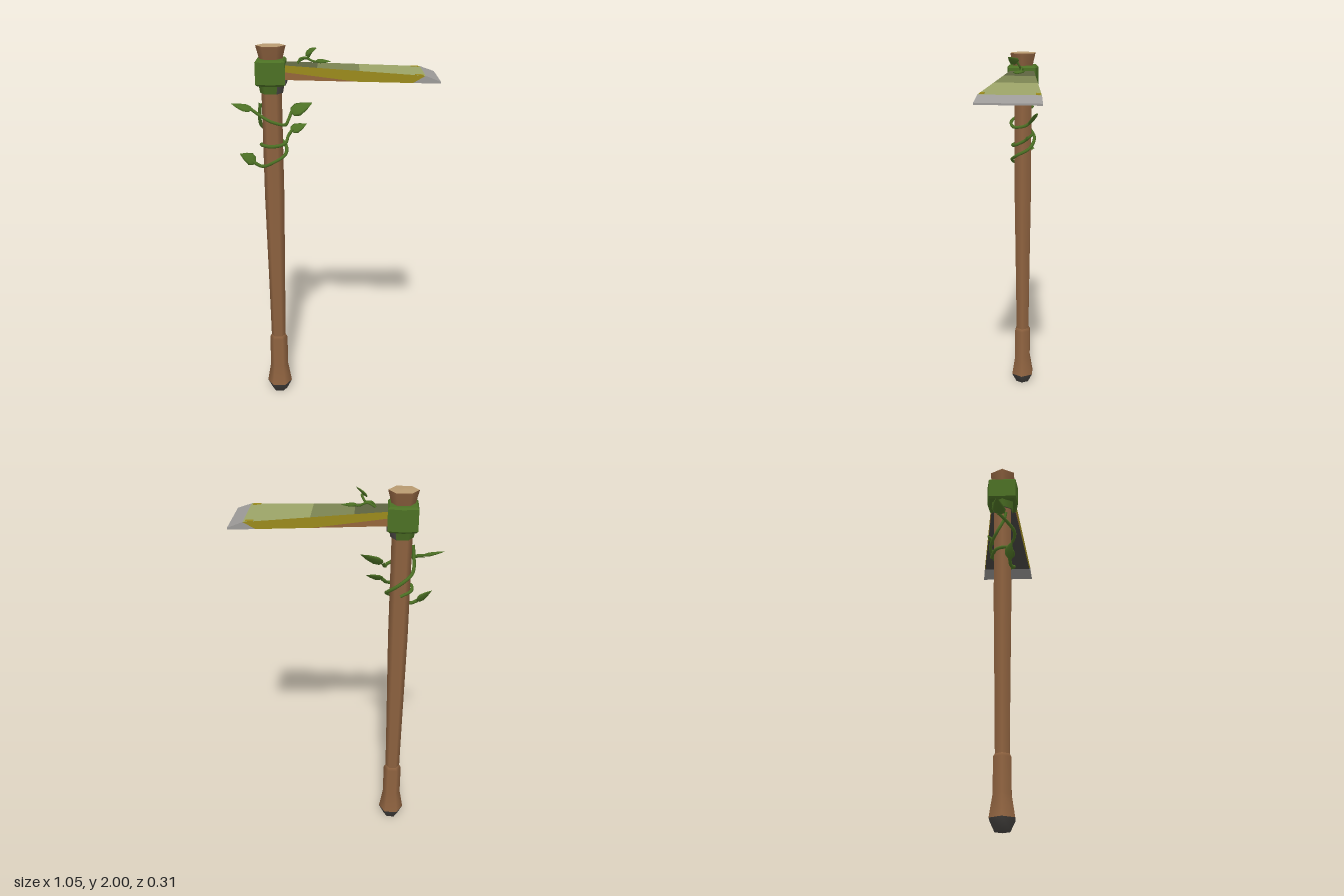
import * as THREE from 'three';

const mat = (name, color) => {
  const m = new THREE.MeshStandardMaterial({ color });
  m.name = name;
  return m;
};
const V = (p) => new THREE.Vector3(...p);
const AXIS = -0.315; // x of the handle's centre line

// Flat polygons, each a list of corners in counter-clockwise order
function polygons(list) {
  const pos = [];
  for (const p of list)
    for (let i = 1; i < p.length - 1; i++) pos.push(...p[0], ...p[i], ...p[i + 1]);
  const g = new THREE.BufferGeometry();
  g.setAttribute('position', new THREE.Float32BufferAttribute(pos, 3));
  g.computeVertexNormals();
  return g;
}
// Same polygon on both sides of the blade (z mirrored, order reversed)
const bothSides = (p) => [p, p.map(([x, y, z]) => [x, y, -z]).reverse()];

export function createModel() {
  const M = {
    wood: mat('wood', 0x8f6340),
    cutWood: mat('cut wood', 0xb89a70),
    iron: mat('dark iron', 0x4a4744),
    green: mat('leaf green', 0x4c7024),
    yellow: mat('yellow paint', 0x9a8a1c),
    rust: mat('orange brown', 0x94663a),
    oliveDark: mat('dark olive', 0x5d6340),
    oliveMid: mat('mid olive', 0x7c8452),
    oliveLight: mat('light olive', 0x9ca468),
    steel: mat('steel', 0x9c9a98),
  };
  const root = new THREE.Group();
  const add = (name, geo, material, parent = root) => {
    const m = new THREE.Mesh(geo, material);
    m.name = name;
    parent.add(m);
    return m;
  };

  // Six-sided handle pieces
  const turned = (name, pts, material) => {
    const profile = pts.map(([r, y]) => new THREE.Vector2(r, y));
    add(name, new THREE.LatheGeometry(profile, 6, Math.PI / 2), material).position.x = AXIS;
  };
  turned('endCap', [[0, 0], [0.042, 0], [0.07, 0.055]], M.iron);
  turned('grip', [[0.07, 0.055], [0.05, 0.17], [0.05, 0.345], [0.04, 0.362]], M.wood);
  turned('shaft', [[0.04, 0.355], [0.043, 0.6], [0.052, 1.2], [0.052, 1.75], [0.057, 1.92]], M.wood);
  turned('shaftHead', [[0.057, 1.92], [0.075, 1.99], [0.075, 1.995]], M.wood);
  turned('shaftTop', [[0.075, 1.995], [0, 2]], M.cutWood);

  // Collar with slightly bulged front and back
  const plan = new THREE.Shape([
    [-0.065, -0.065], [0, -0.075], [0.065, -0.065],
    [0.065, 0.065], [0, 0.075], [-0.065, 0.065],
  ].map(([x, z]) => new THREE.Vector2(x, z)));
  const collarGeo = new THREE.ExtrudeGeometry(plan, {
    depth: 0.11, bevelEnabled: true, bevelThickness: 0.01, bevelSize: 0.01, bevelSegments: 1,
  });
  collarGeo.rotateX(-Math.PI / 2);
  add('collar', collarGeo, M.green).position.set(AXIS, 1.81, 0);

  // Neck below the collar, iron on the blade side
  const neck = (name, segs, start, material) => {
    const g = new THREE.CylinderGeometry(0.068, 0.058, 0.05, segs, 1, true, start, segs * Math.PI / 3);
    add(name, g, material).position.set(AXIS, 1.782, 0);
  };
  neck('neckFront', 2, Math.PI / 6, M.iron);
  neck('neckBack', 4, Math.PI * 5 / 6, M.green);
  add('neckUnderside', new THREE.CylinderGeometry(0.058, 0.058, 0.004, 6, 1, false, Math.PI / 2), M.iron)
    .position.set(AXIS, 1.759, 0);
  add('collarPlate', new THREE.BoxGeometry(0.006, 0.03, 0.13), M.iron).position.set(-0.24, 1.822, 0);

  // Blade: flat underside, sloping top, widening towards the cutting edge
  const blade = new THREE.Group();
  blade.name = 'blade';
  root.add(blade);
  const X0 = -0.25, X1 = 0.45, X2 = 0.525, LOW = 1.833;
  const half = (x) => 0.065 + (x + 0.24) * 0.12;
  const top = (x) => 1.905 - (x + 0.24) * 0.052;
  const strip = (xa, xb, ya, yb) => [
    [xa, ya, half(xa)], [xb, yb, half(xb)], [xb, yb, -half(xb)], [xa, ya, -half(xa)],
  ];
  const bands = [[X0, -0.08, M.oliveDark], [-0.08, 0.13, M.oliveMid], [0.13, X1, M.oliveLight]];
  for (const [a, b, m] of bands) add('bladeTop', polygons([strip(a, b, top(a), top(b))]), m, blade);
  add('bladeUnderside', polygons([strip(X0, 0.4, LOW, LOW).reverse()]), M.iron, blade);

  const side = (pts) => bothSides(pts.map(([x, y]) => [x, y, half(x)]));
  add('bladeSides', polygons(side([
    [X0, 1.872], [0.12, LOW], [0.39, LOW], [X1, top(X1)], [X0, top(X0)],
  ])), M.yellow, blade);
  add('bladeSidePatches', polygons(side([[X0, LOW], [0.12, LOW], [X0, 1.872]])), M.rust, blade);
  add('cuttingEdge', polygons([
    strip(X1, X2, top(X1), 1.842),
    strip(0.4, X2, LOW, LOW).reverse(),
    [[X2, LOW, half(X2)], [X2, LOW, -half(X2)], [X2, 1.842, -half(X2)], [X2, 1.842, half(X2)]],
    ...side([[0.39, LOW], [X2, LOW], [X2, 1.842], [X1, top(X1)]]),
  ]), M.steel, blade);
  for (const s of [-1, 1]) {
    const chip = add('paintChip', new THREE.BoxGeometry(0.04, 0.004, 0.022), M.yellow, blade);
    chip.position.set(0.42, top(0.42), s * 0.13);
    chip.rotation.z = -0.052;
  }

  // Vines winding round the shaft and lying on the blade
  const vine = (pts, r = 0.009) => {
    const curve = new THREE.CatmullRomCurve3(pts.map(V));
    add('vine', new THREE.TubeGeometry(curve, pts.length * 6, r, 6), M.green);
  };
  vine([[-0.43, 1.67, -0.02], [-0.375, 1.645, 0.03], [-0.315, 1.62, 0.065],
    [-0.25, 1.6, 0.045], [-0.235, 1.61, -0.02], [-0.22, 1.645, -0.06]]);
  vine([[-0.43, 1.41, 0.04], [-0.37, 1.38, 0.045], [-0.31, 1.405, 0.062], [-0.25, 1.44, 0.03],
    [-0.255, 1.48, -0.04], [-0.315, 1.53, -0.065], [-0.375, 1.58, -0.03],
    [-0.378, 1.66, 0.01], [-0.372, 1.71, 0.02]]);
  vine([[-0.315, 1.46, -0.06], [-0.37, 1.48, -0.03], [-0.37, 1.49, 0.03], [-0.315, 1.488, 0.058],
    [-0.25, 1.5, 0.035], [-0.235, 1.53, -0.02], [-0.215, 1.555, -0.04]]);
  vine([[-0.18, 1.905, 0.005], [-0.165, 1.93, 0], [-0.13, 1.935, 0], [-0.11, 1.965, 0.015]], 0.006);
  vine([[-0.18, 1.91, -0.008], [-0.14, 1.93, -0.008], [-0.1, 1.915, -0.005], [-0.07, 1.915, 0]], 0.006);

  // Pointed leaves: a flattened lathe laid from base to tip, facing 'normal'
  const leafProfile = [[0, 0], [0.36, 0.1], [0.5, 0.33], [0.32, 0.66], [0, 1]]
    .map(([x, y]) => new THREE.Vector2(x, y));
  const leafGeo = new THREE.LatheGeometry(leafProfile, 8);
  const leaf = (base, tip, normal, width) => {
    const y = V(tip).sub(V(base));
    const len = y.length();
    y.normalize();
    const x = new THREE.Vector3().crossVectors(y, V(normal)).normalize();
    const z = new THREE.Vector3().crossVectors(x, y);
    const m = add('leaf', leafGeo, M.green);
    m.quaternion.setFromRotationMatrix(new THREE.Matrix4().makeBasis(x, y, z));
    m.position.set(...base);
    m.scale.set(width, len, width * 0.25);
  };
  leaf([-0.42, 1.665, -0.01], [-0.53, 1.695, -0.025], [0.2, 1, 0.3], 0.08);
  leaf([-0.405, 1.4, 0.03], [-0.485, 1.45, 0.055], [0.4, 0.5, 0.8], 0.07);
  leaf([-0.225, 1.64, -0.06], [-0.11, 1.69, -0.075], [-0.3, 0.6, 0.8], 0.08);
  leaf([-0.225, 1.55, -0.04], [-0.14, 1.58, -0.07], [-0.2, 0.6, 0.8], 0.06);
  leaf([-0.14, 1.955, 0.015], [-0.08, 1.99, 0.06], [0.3, 0.6, 0.6], 0.05);
  leaf([-0.09, 1.918, 0], [-0.01, 1.915, 0.005], [0.1, 1, 0.1], 0.065);

  return root;
}
